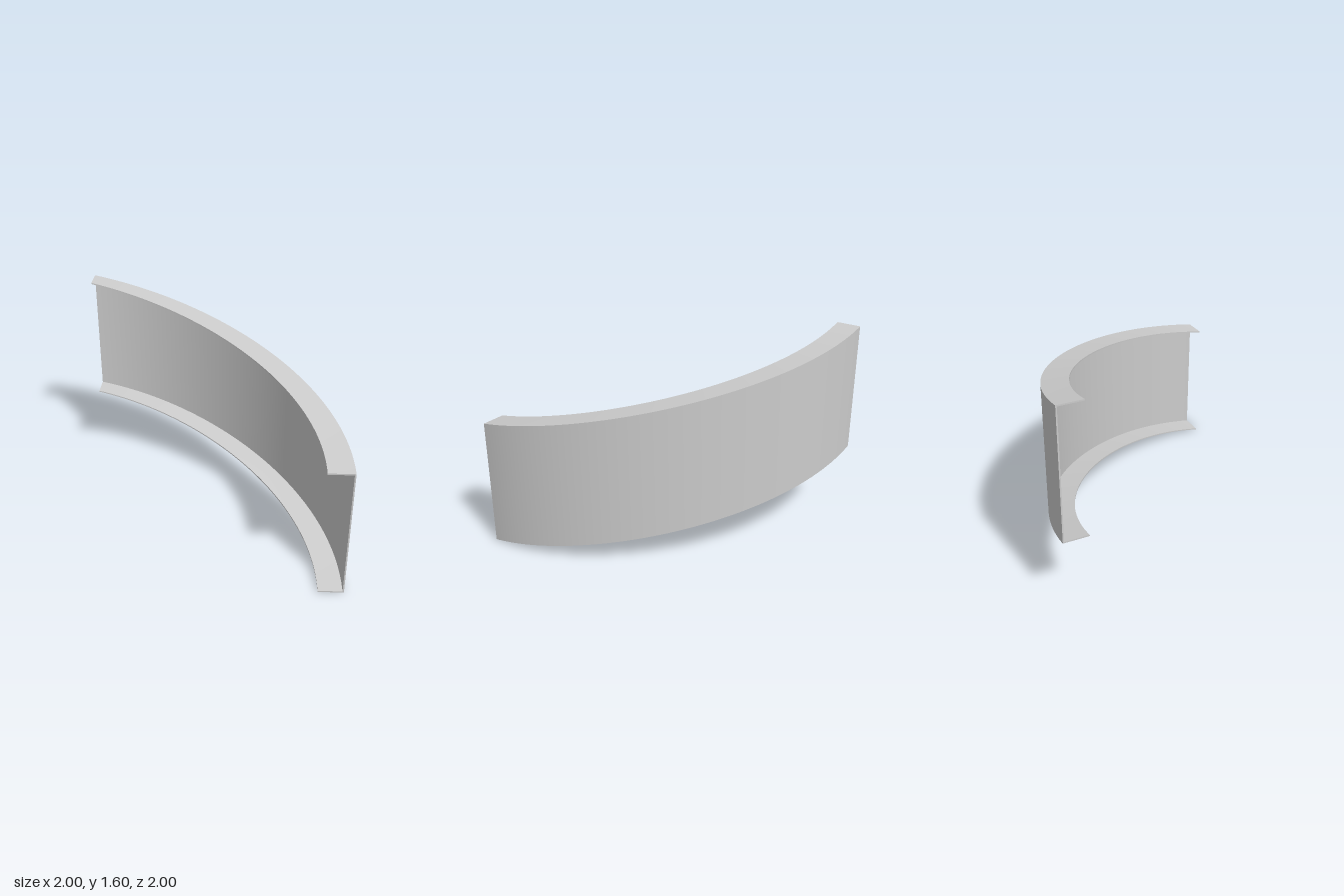
import * as THREE from 'three';
import { mergeGeometries } from 'three/addons/utils/BufferGeometryUtils.js';

const STEPS = 96;
const HEIGHT = 0.997, DEPTH = 0.185, WALL = 0.01;

// Rising quarter-turn path followed by the lower outer edge
const path = new THREE.CubicBezierCurve3(
  new THREE.Vector3(1, 0, 1),
  new THREE.Vector3(1, 0.16, 0),
  new THREE.Vector3(0, 0.386, -1),
  new THREE.Vector3(-1, 0.598, -1)
);

// C section, counter-clockwise: x = distance inward, y = height
const section = [
  [0, 0], [DEPTH, 0], [DEPTH, WALL], [WALL, WALL],
  [WALL, HEIGHT - WALL], [DEPTH, HEIGHT - WALL], [DEPTH, HEIGHT], [0, HEIGHT],
].map(([x, y]) => new THREE.Vector2(x, y));

// Place a section point on the path; the section stays upright
function place(t, p) {
  const c = path.getPoint(t);
  const d = path.getTangent(t);
  const len = Math.hypot(d.x, d.z);
  return [c.x + (d.z / len) * p.x, c.y + p.y, c.z - (d.x / len) * p.x];
}

function makeGeometry(positions, index) {
  const g = new THREE.BufferGeometry();
  g.setAttribute('position', new THREE.Float32BufferAttribute(positions, 3));
  g.setIndex(index);
  g.computeVertexNormals();
  return g;
}

// One smooth strip swept from a section edge
function strip(a, b) {
  const pos = [], idx = [];
  for (let i = 0; i <= STEPS; i++) {
    pos.push(...place(i / STEPS, a), ...place(i / STEPS, b));
    if (i < STEPS) {
      const k = i * 2;
      idx.push(k, k + 1, k + 3, k, k + 3, k + 2);
    }
  }
  return makeGeometry(pos, idx);
}

// Flat C-shaped end
function cap(t, flip) {
  const pos = section.flatMap((p) => place(t, p));
  const idx = THREE.ShapeUtils.triangulateShape(section, [])
    .flatMap(([a, b, c]) => (flip ? [a, c, b] : [a, b, c]));
  return makeGeometry(pos, idx);
}

export function createModel() {
  const group = new THREE.Group();
  group.name = 'curvedChannel';
  const pieces = section.map((p, i) => strip(p, section[(i + 1) % section.length]));
  pieces.push(cap(0, true), cap(1, false));
  const channel = new THREE.Mesh(
    mergeGeometries(pieces),
    new THREE.MeshStandardMaterial({ color: 0xcccccc })
  );
  channel.name = 'channel';
  group.add(channel);
  return group;
}
